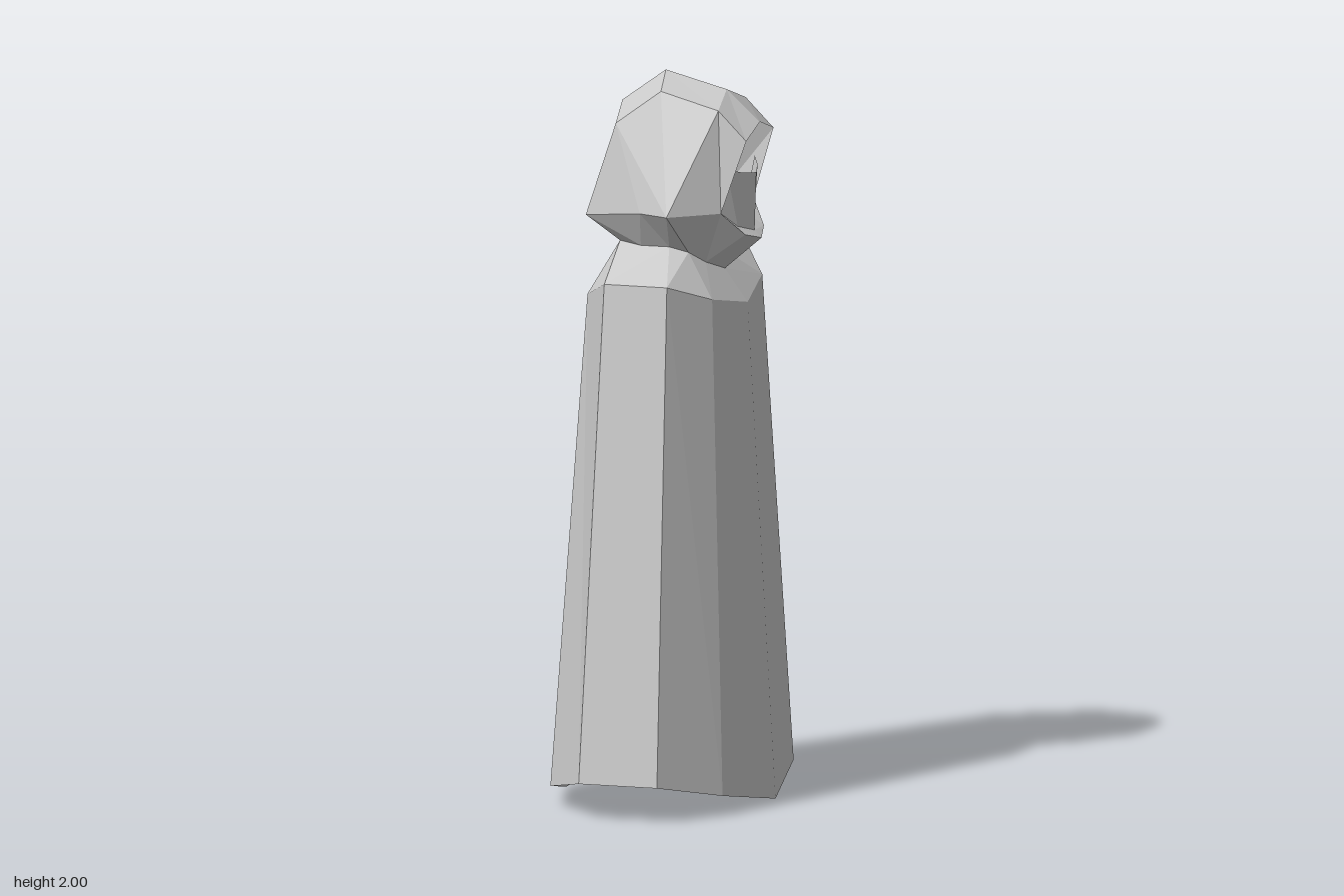
import * as THREE from 'three';

const material = new THREE.MeshStandardMaterial({ color: 0xcccccc, flatShading: true, side: THREE.DoubleSide });
const mirror = (row) => row.map(([x, y, z]) => [x, y, -z]);

// Skins a strip of quads between two rows of points, skipping collapsed triangles
function strip(out, low, up) {
  const tri = (...pts) => {
    const [a, b, c] = pts.map((p) => new THREE.Vector3(...p));
    if (new THREE.Triangle(a, b, c).getArea() > 1e-7) out.push(...pts.flat());
  };
  for (let i = 0; i < low.length - 1; i++) {
    tri(low[i], up[i], up[i + 1]);
    tri(low[i], up[i + 1], low[i + 1]);
  }
}

// Lofts half-rows (front to back on the +z side) and mirrors them to -z
function halfLoft(out, ...rows) {
  for (let i = 0; i < rows.length - 1; i++) {
    strip(out, rows[i], rows[i + 1]);
    strip(out, mirror(rows[i + 1]), mirror(rows[i]));
  }
}

function part(name, build) {
  const points = [];
  build(points);
  const geometry = new THREE.BufferGeometry();
  geometry.setAttribute('position', new THREE.Float32BufferAttribute(points, 3));
  geometry.computeVertexNormals();
  const mesh = new THREE.Mesh(geometry, material);
  mesh.name = name;
  return mesh;
}

export function createModel() {
  // Cross-sections, from the front (+x) round to the back (-x)
  const hem = [[0.3, 0, 0], [0.25, 0.055, 0.305], [0.125, 0.1, 0.495],
    [-0.1, 0.1, 0.495], [-0.245, 0.055, 0.305], [-0.3, 0, 0]];
  const shoulder = [[0.22, 1.37, 0], [0.19, 1.41, 0.215], [0.105, 1.46, 0.35],
    [-0.075, 1.46, 0.35], [-0.18, 1.4, 0.18], [-0.22, 1.37, 0]];
  const neck = [[0.155, 1.46, 0], [0.13, 1.49, 0.09], [0.1, 1.525, 0.15], [0.05, 1.54, 0.165],
    [-0.04, 1.535, 0.14], [-0.12, 1.535, 0.08], [-0.13, 1.535, 0]];
  const rim = [[0.26, 1.55, 0], [0.24, 1.57, 0.08], [0.19, 1.635, 0.14], [0.07, 1.635, 0.25],
    [-0.02, 1.635, 0.21], [-0.21, 1.605, 0.105], [-0.22, 1.61, 0]];
  const band = [[0.255, 1.835, 0.117], [0.175, 1.915, 0.117], [0.01, 1.96, 0.117],
    [-0.12, 1.865, 0.117], rim[5]];
  const ridge = [[0.255, 1.87, 0], [0.16, 1.955, 0], [-0.015, 2, 0], [-0.14, 1.91, 0], rim[6]];
  const veilLow = [[0.24, 1.57, 0], [0.215, 1.59, 0.07], [0.175, 1.64, 0.125]];
  const veilTop = [[0.245, 1.73, 0], [0.225, 1.74, 0.07], [0.2, 1.755, 0.12]];
  const pick = (row, ...ids) => ids.map((i) => row[i]);

  const model = new THREE.Group();
  model.name = 'hoodedFigure';
  model.add(
    part('cloak', (o) => halfLoft(o, hem, shoulder)),
    part('cloakUnderside', (o) => strip(o, mirror(hem), hem)),
    part('shoulders', (o) => halfLoft(o, pick(shoulder, 0, 1, 2, 3, 3, 4, 5), neck)),
    part('hoodUnderside', (o) => halfLoft(o, neck, rim)),
    part('hood', (o) => {
      halfLoft(o, pick(rim, 2, 3, 3, 4, 5), band);
      halfLoft(o, band, ridge);
    }),
    // Lip of the hood opening and the folded veil standing on it
    part('hoodLip', (o) => halfLoft(o, rim.slice(0, 3), veilLow)),
    part('veil', (o) => halfLoft(o, veilLow, veilTop)),
  );
  return model;
}
